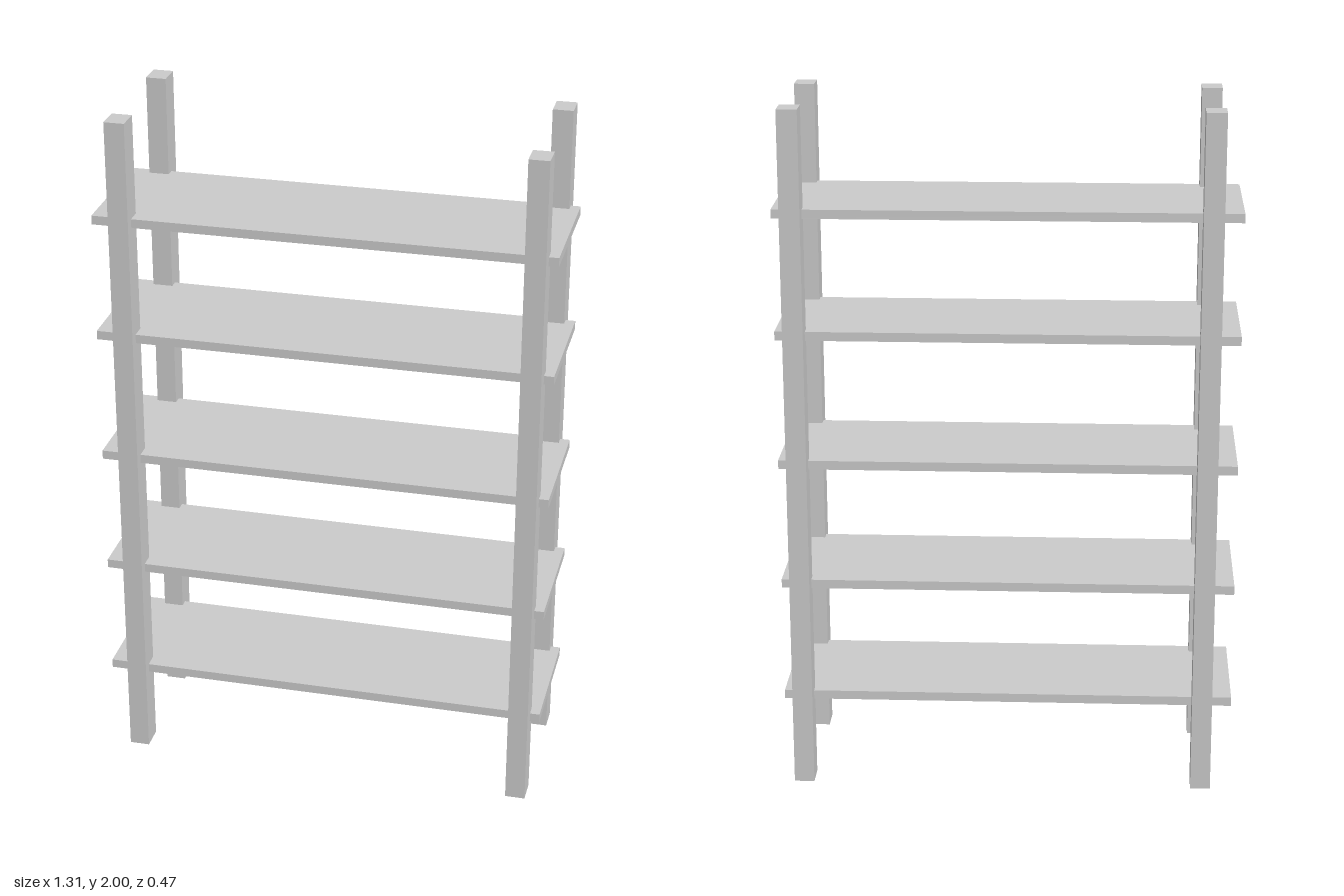
import * as THREE from 'three';

export function createModel() {
  const group = new THREE.Group();
  const material = new THREE.MeshStandardMaterial({ color: 0xcccccc, flatShading: true });

  const addBox = (name, size, position) => {
    const mesh = new THREE.Mesh(new THREE.BoxGeometry(...size), material);
    mesh.name = name;
    mesh.position.set(...position);
    group.add(mesh);
  };

  // Four full-height posts; the front right one sits slightly further in
  const posts = [
    ['frontLeftPost', 0.597, 0.2],
    ['frontRightPost', -0.568, 0.185],
    ['backLeftPost', 0.597, -0.201],
    ['backRightPost', -0.568, -0.201],
  ];
  for (const [name, x, z] of posts) addBox(name, [0.058, 2, 0.073], [x, 1, z]);

  // Five thin shelves reaching past the posts at both ends
  [0.258, 0.606, 0.969, 1.35, 1.7].forEach((y, i) => {
    addBox(`shelf${i + 1}`, [1.308, 0.026, 0.384], [0, y, 0.001]);
  });

  return group;
}
